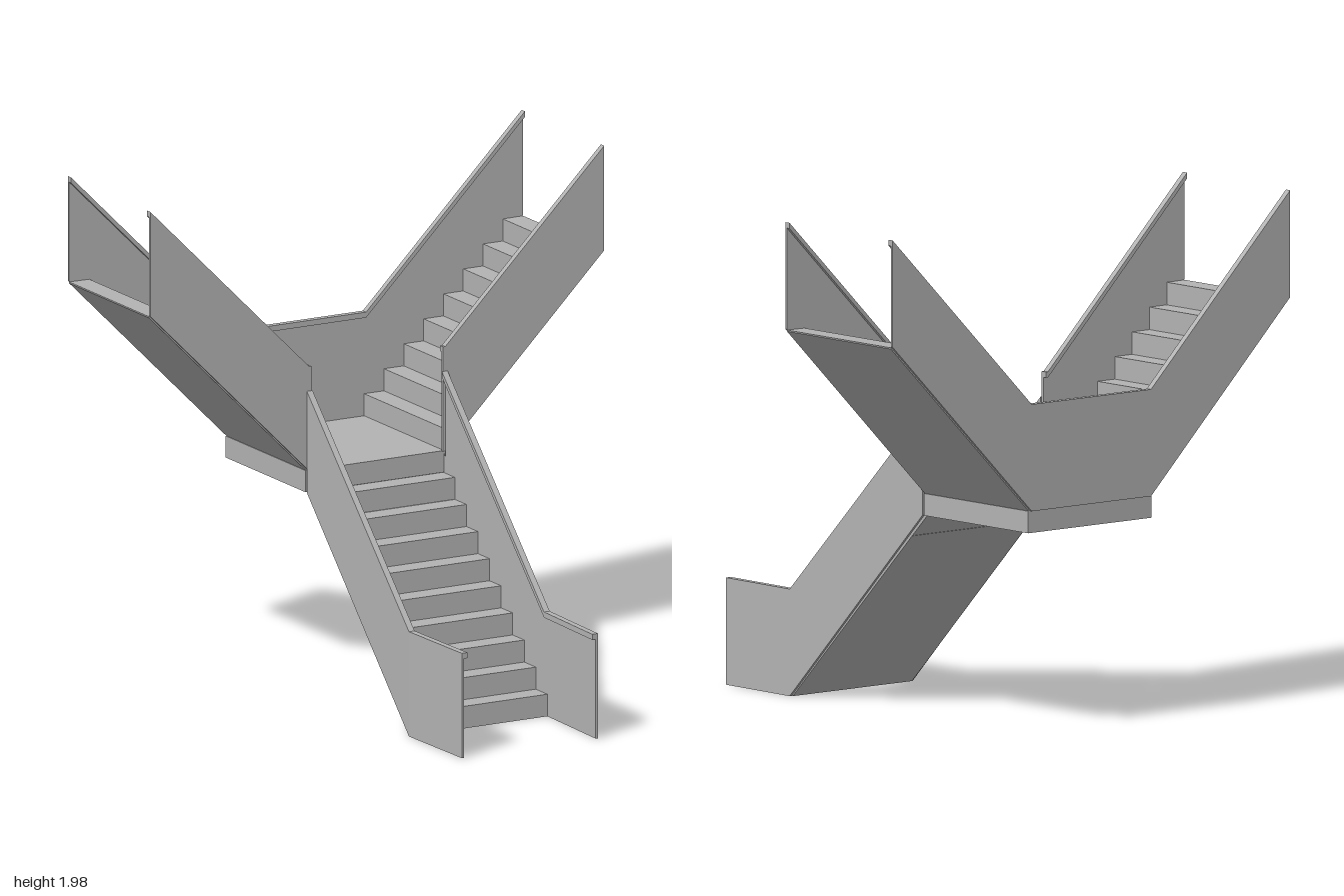
import * as THREE from 'three';

const RISE = 0.087, LANDING = 0.87;
const HALF = 0.31;              // half width of the lower flight
const FRONT = -0.267, BACK = -0.895; // outer faces of the upper flight walls
const SHEET = 0.01, CAP = 0.025, CAP_H = 0.022;

export function createModel() {
  const group = new THREE.Group();
  const grey = new THREE.MeshStandardMaterial({ color: 0xb3b3b3, side: THREE.DoubleSide });
  grey.name = 'plain grey';

  const add = (name, geo) => {
    const mesh = new THREE.Mesh(geo, grey);
    mesh.name = name;
    group.add(mesh);
    return mesh;
  };
  const extrude = (pts, depth) => new THREE.ExtrudeGeometry(
    new THREE.Shape(pts.map(([a, b]) => new THREE.Vector2(a, b))),
    { depth, bevelEnabled: false });
  // profile in (x, y), from z0 to z1
  const alongZ = (pts, z0, z1) => extrude(pts, z1 - z0).translate(0, 0, z0);
  // profile in (z, y), from x0 to x1
  const alongX = (pts, x0, x1) => extrude(pts, x1 - x0).rotateY(-Math.PI / 2).translate(x1, 0, 0);
  // rail profile hanging below a top line
  const band = (line) => [...line, ...line.map(([a, b]) => [a, b - CAP_H]).reverse()];
  // stepped top line: start, run (signed), number of risers
  const steps = (start, base, run, count) => {
    const pts = [];
    for (let k = 0; k < count; k++) {
      pts.push([start + run * k, base + RISE * k], [start + run * k, base + RISE * (k + 1)]);
    }
    return pts;
  };

  // lower flight with a flat sloping underside
  add('lowerFlight', alongX(
    [...steps(0.51, 0, -0.088, 10), [-0.285, LANDING], [-0.285, 0.785], [-0.277, 0.78], [0.503, 0]],
    -HALF + SHEET, HALF - SHEET));

  // landing slab
  add('landing', alongZ(
    [[-HALF, 0.785], [HALF, 0.785], [HALF, LANDING], [-HALF, LANDING]], BACK + SHEET, FRONT - SHEET));

  // lower walls, their end panels and handrails
  const wall = [[0.51, 0], [0.51, 0.413], [FRONT, 1.185], [FRONT, 0.785]];
  const panel = [[0.51, 0], [0.895, 0], [0.895, 0.413], [0.51, 0.413]];
  const slopeRail = band([[0.51, 0.413], [FRONT, 1.185]]);
  const endRail = band([[0.895, 0.413], [0.51, 0.413]]);
  for (const s of [1, -1]) {
    const side = (pts, w) => s > 0 ? alongX(pts, HALF - w, HALF) : alongX(pts, -HALF, -HALF + w);
    // end panels lean slightly inward toward the front
    const toeIn = (geo) => {
      const p = geo.attributes.position;
      for (let i = 0; i < p.count; i++) {
        p.setX(i, p.getX(i) - s * 0.01 * (p.getZ(i) - 0.51) / 0.385);
      }
      geo.computeVertexNormals();
      return geo;
    };
    add('lowerWall', side(wall, SHEET));
    add('lowerHandrail', side(slopeRail, CAP));
    add('endPanel', toeIn(side(panel, SHEET)));
    add('endHandrail', toeIn(side(endRail, CAP)));
  }

  // upper flights, one to each side, with their front walls
  for (const s of [1, -1]) {
    const flip = (pts) => pts.map(([x, y]) => [s * x, y]);
    add('upperFlight', alongZ(
      flip([...steps(0.3, LANDING, 0.0873, 8), [1, 1.567], [1, 1.562], [0.305, 0.868]]),
      BACK + SHEET, FRONT - SHEET));
    add('upperFrontWall', alongZ(
      flip([[0.29, LANDING], [0.3, LANDING], [1, 1.57], [1, 1.982], [0.3, 1.282], [0.29, 1.282]]),
      FRONT - SHEET, FRONT));
    add('upperFrontHandrail', alongZ(
      flip(band([[0.29, 1.282], [0.3, 1.282], [1, 1.982]])), FRONT - CAP, FRONT));
  }

  // continuous back wall and handrail
  const backTop = [[-1, 1.982], [-0.3, 1.282], [0.3, 1.282], [1, 1.982]];
  add('backWall', alongZ(
    [...backTop, [1, 1.57], [0.3, LANDING], [-0.3, LANDING], [-1, 1.57]], BACK, BACK + SHEET));
  add('backHandrail', alongZ(band(backTop), BACK, BACK + CAP));

  return group;
}
